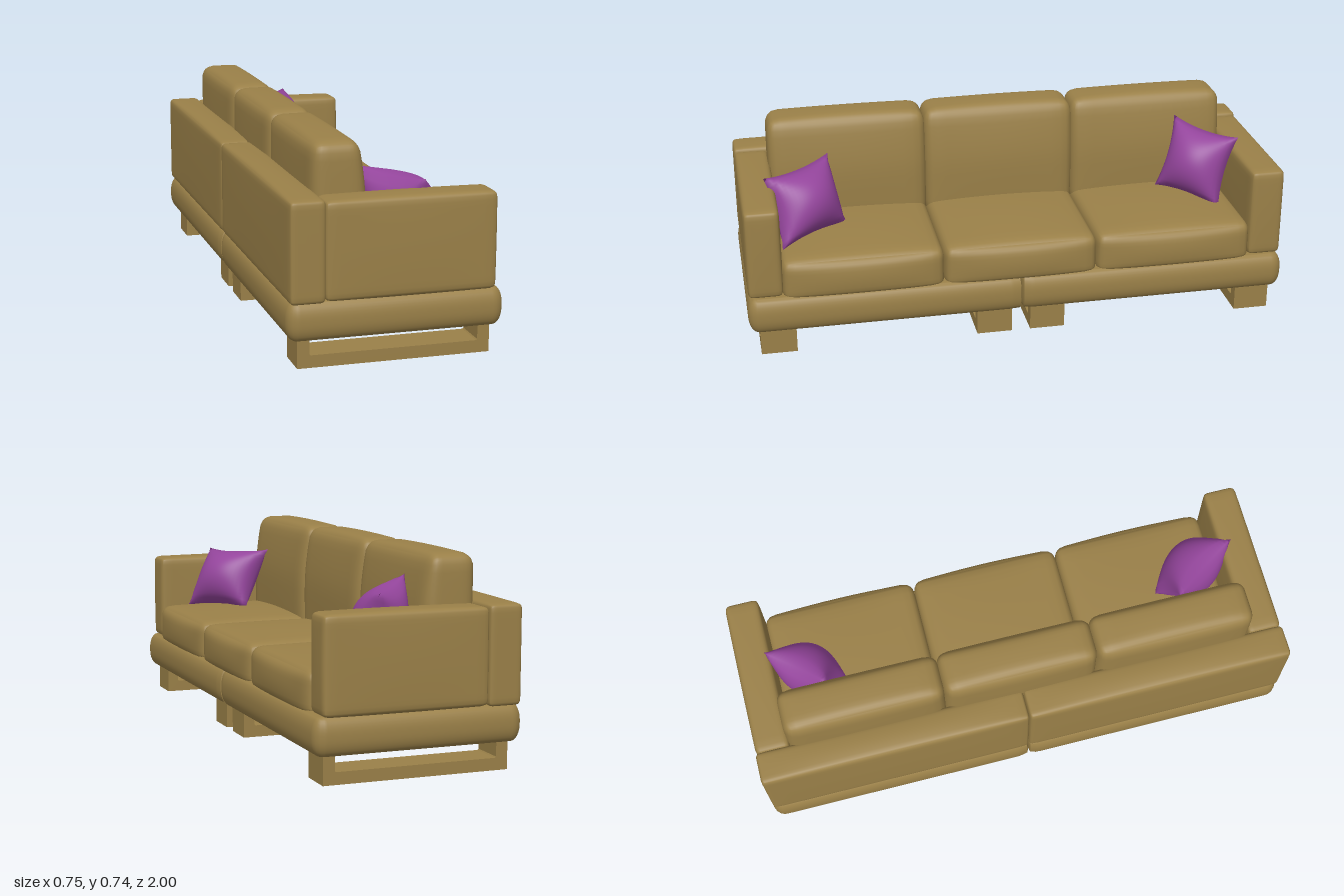
import * as THREE from 'three';
import { mergeGeometries, mergeVertices, toCreasedNormals } from 'three/addons/utils/BufferGeometryUtils.js';

const fabric = new THREE.MeshStandardMaterial({ color: 0x9a8048, side: THREE.DoubleSide });
const purple = new THREE.MeshStandardMaterial({ color: 0x94459c, side: THREE.DoubleSide });

// Weld a geometry and give it smooth normals
function smooth(geo) {
  geo.deleteAttribute('normal');
  geo.deleteAttribute('uv');
  const welded = mergeVertices(geo, 1e-5);
  welded.computeVertexNormals();
  return welded;
}

// Copy an unindexed geometry without the triangles whose corners all pass the test
function withoutFaces(geo, test) {
  const p = geo.attributes.position, kept = [];
  for (let i = 0; i < p.count; i += 3) {
    const tri = [0, 1, 2].map((k) => new THREE.Vector3().fromBufferAttribute(p, i + k));
    if (!tri.every(test)) kept.push(...tri);
  }
  const open = new THREE.BufferGeometry().setFromPoints(kept);
  open.computeVertexNormals();
  return open;
}

// Upholstered block: rounded edges of radius r, faces swollen by puff per axis
function softBox(min, max, r, puff, rule) {
  const geo = new THREE.BoxGeometry(2, 2, 2, 16, 16, 16);
  const pos = geo.attributes.position;
  const lo = new THREE.Vector3(...min), hi = new THREE.Vector3(...max);
  const mid = lo.clone().add(hi).multiplyScalar(0.5);
  const half = hi.clone().sub(lo).multiplyScalar(0.5);
  const inner = half.clone().subScalar(r);
  const swell = new THREE.Vector3(...puff);
  for (let i = 0; i < pos.count; i++) {
    const t = new THREE.Vector3().fromBufferAttribute(pos, i);
    for (const a of ['x', 'y', 'z']) t[a] = Math.sin(t[a] * Math.PI / 2);
    const p = t.clone().multiply(half);
    const core = p.clone().clamp(inner.clone().negate(), inner);
    p.sub(core).setLength(r).add(core);
    const f = t.clone().multiply(t).negate().addScalar(1);
    p.x += swell.x * t.x * f.y * f.z;
    p.y += swell.y * t.y * f.x * f.z;
    p.z += swell.z * t.z * f.x * f.y;
    p.add(mid);
    if (rule) rule(p);
    pos.setXYZ(i, p.x, p.y, p.z);
  }
  return smooth(geo);
}

// Throw pillow spanned by edge vectors u and v, with pinched corners
function pillowGeometry(center, u, v, thickness) {
  const c = new THREE.Vector3(...center), U = new THREE.Vector3(...u), V = new THREE.Vector3(...v);
  const n = U.clone().cross(V).normalize();
  const sides = [1, -1].map((side) => {
    const geo = new THREE.PlaneGeometry(2, 2, 20, 20);
    const pos = geo.attributes.position;
    for (let i = 0; i < pos.count; i++) {
      const s = pos.getX(i) * side, t = pos.getY(i);
      const fs = 1 - s * s, ft = 1 - t * t;
      const p = c.clone()
        .addScaledVector(U, 0.5 * s * (1 - 0.12 * ft))
        .addScaledVector(V, 0.5 * t * (1 - 0.12 * fs))
        .addScaledVector(n, side * 0.5 * thickness * Math.pow(Math.max(fs * ft, 0), 0.6));
      pos.setXYZ(i, p.x, p.y, p.z);
    }
    return geo;
  });
  return smooth(mergeGeometries(sides));
}

function roundedRect(path, x, z0, z1, r) {
  path.moveTo(-x + r, z0);
  path.lineTo(x - r, z0).quadraticCurveTo(x, z0, x, z0 + r);
  path.lineTo(x, z1 - r).quadraticCurveTo(x, z1, x - r, z1);
  path.lineTo(-x + r, z1).quadraticCurveTo(-x, z1, -x, z1 - r);
  path.lineTo(-x, z0 + r).quadraticCurveTo(-x, z0, -x + r, z0);
  return path;
}

// Bulging shell with a narrow lip above and below, for one half of the sofa
function baseGeometry(side) {
  const shape = roundedRect(new THREE.Shape(), 0.346, 0.03, 0.97, 0.015);
  shape.holes.push(roundedRect(new THREE.Path(), 0.29, 0.085, 0.915, 0.015));
  const solid = new THREE.ExtrudeGeometry(shape, {
    depth: 0.012, bevelThickness: 0.06, bevelSize: 0.03, bevelSegments: 8, curveSegments: 5,
  });
  solid.rotateX(Math.PI / 2).translate(0, 0.171, 0);
  const geo = withoutFaces(solid, (p) => Math.abs(p.x) < 0.291 && p.z > 0.084 && p.z < 0.916);
  // Tighten the rounding where the halves meet
  const pos = geo.attributes.position;
  for (let i = 0; i < pos.count; i++) {
    if (pos.getZ(i) < 0.031) pos.setZ(i, pos.getZ(i) * 0.3);
  }
  if (side < 0) geo.rotateY(Math.PI);
  return toCreasedNormals(geo, 0.7);
}

// Hollow sled leg, open along its underside
function legGeometry() {
  const s = new THREE.Shape();
  s.moveTo(-0.335, 0).lineTo(0.335, 0).lineTo(0.335, 0.105).lineTo(0.293, 0.105);
  s.lineTo(0.293, 0.047).lineTo(0.289, 0.043).lineTo(-0.289, 0.043).lineTo(-0.293, 0.047);
  s.lineTo(-0.293, 0.105).lineTo(-0.335, 0.105).lineTo(-0.335, 0);
  const geo = new THREE.ExtrudeGeometry(s, { depth: 0.13, bevelEnabled: false });
  return withoutFaces(geo, (p) => p.y < 0.001).translate(0, 0, -0.065);
}

export function createModel() {
  const sofa = new THREE.Group();
  sofa.name = 'sofa';
  const add = (name, geo, mat = fabric) => {
    const mesh = new THREE.Mesh(geo, mat);
    mesh.name = name;
    sofa.add(mesh);
    return mesh;
  };

  // Two mirrored halves: base, backrest, arm and legs
  for (const side of [1, -1]) {
    const label = side > 0 ? 'front' : 'rear';
    const span = (a, b) => (side > 0 ? [a, b] : [-b, -a]);
    add(label + 'Base', baseGeometry(side));
    const [b0, b1] = span(0.001, 0.997);
    add(label + 'Backrest', softBox([-0.368, 0.225, b0], [-0.245, 0.57, b1], 0.018, [0.003, 0.009, 0]));
    const [a0, a1] = span(0.868, 0.995);
    add(label + 'Arm', softBox([-0.247, 0.228, a0], [0.345, 0.563, a1], 0.02, [0.004, 0.005, 0.004]));
    for (const z of [0.1, 0.895]) add(label + 'SledLeg', legGeometry()).position.z = side * z;
  }

  // Seat and back cushions, three of each
  const flatBottom = (p) => { p.y = Math.max(p.y, 0.227); };
  const leanIn = (p) => {
    if (p.x > -0.16 && p.y > 0.5) p.x -= 0.03 * ((p.y - 0.5) / 0.235) ** 1.6 * ((p.x + 0.16) / 0.1);
  };
  for (const [z0, z1] of [[-0.872, -0.284], [-0.284, 0.284], [0.284, 0.872]]) {
    add('seatCushion', softBox([-0.25, 0.2, z0], [0.354, 0.367, z1], 0.04, [0.016, 0.014, 0], flatBottom));
    add('backCushion', softBox([-0.257, 0.3, z0], [-0.063, 0.73, z1], 0.045, [0.006, 0.007, 0.004], leanIn));
  }

  // Throw pillows leaning in the corners
  add('frontPillow', pillowGeometry([0.09, 0.485, 0.757], [0.175, -0.01, 0.25], [-0.115, 0.235, 0.05], 0.2), purple);
  add('rearPillow', pillowGeometry([0.048, 0.5, -0.745], [0.18, -0.04, -0.2], [-0.06, 0.26, -0.085], 0.19), purple);
  return sofa;
}
